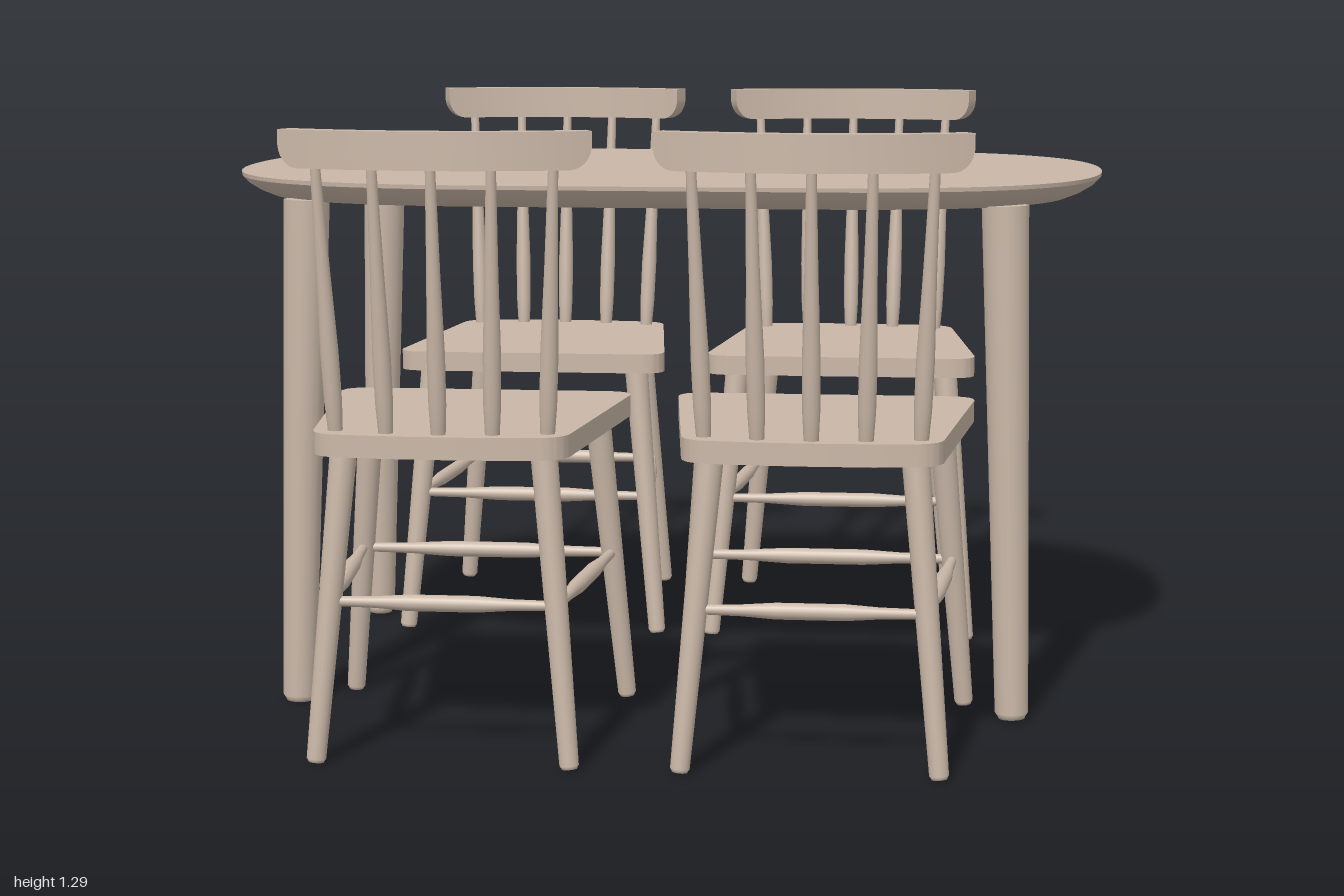
import * as THREE from 'three';
import { toCreasedNormals } from 'three/addons/utils/BufferGeometryUtils.js';

const wood = new THREE.MeshStandardMaterial({ color: 0xc9b7a7 });
wood.name = 'pale wood';

function add(parent, name, geometry) {
  const mesh = new THREE.Mesh(geometry, wood);
  mesh.name = name;
  parent.add(mesh);
  return mesh;
}

// Skin closed rings of [x, y, z] points and cap both ends
function loft(rings) {
  const n = rings[0].length, pos = [];
  const tri = (...pts) => pts.forEach((p) => pos.push(...p));
  const centre = (ring) => [0, 1, 2].map((k) => ring.reduce((s, p) => s + p[k], 0) / n);
  const first = rings[0], last = rings[rings.length - 1];
  const c0 = centre(first), c1 = centre(last);
  for (let j = 0; j < n; j++) {
    const k = (j + 1) % n;
    for (let i = 0; i < rings.length - 1; i++) {
      const a = rings[i], b = rings[i + 1];
      tri(a[j], a[k], b[k]);
      tri(a[j], b[k], b[j]);
    }
    tri(c0, first[k], first[j]);
    tri(c1, last[j], last[k]);
  }
  const g = new THREE.BufferGeometry();
  g.setAttribute('position', new THREE.Float32BufferAttribute(pos, 3));
  return toCreasedNormals(g, 0.5);
}

// Turned rod from a to b; profile is [fraction along, radius]
function turned(parent, name, a, b, profile) {
  const from = new THREE.Vector3(...a), dir = new THREE.Vector3(...b).sub(from);
  const len = dir.length();
  const r0 = profile[0][1], r1 = profile[profile.length - 1][1];
  const pts = [[0, 0], [0, r0 * 0.8], [0.003, r0 * 0.82], ...profile.map(([t, r]) => [t || 0.012, r]), [1, r1 * 0.98], [1, 0]]
    .map(([t, r]) => new THREE.Vector2(r, t * len));
  const mesh = add(parent, name, new THREE.LatheGeometry(pts, 20));
  mesh.position.copy(from);
  mesh.quaternion.setFromUnitVectors(new THREE.Vector3(0, 1, 0), dir.normalize());
}

// Soft rectangular table outline, inset by d
function outline(d, y) {
  const V = THREE.Vector2;
  const curve = new THREE.CubicBezierCurve(new V(0.97 - d, 0), new V(0.97 - d, 0.4), new V(0.78 - d, 0.606 - d), new V(0.33, 0.606 - d));
  const q = curve.getPoints(24);
  const half = [...q, ...q.slice().reverse().map((p) => new V(-p.x, p.y))].slice(0, -1);
  return [...half.map((p) => [p.x, y, -p.y]), ...half.map((p) => [-p.x, y, p.y])];
}

function makeTable() {
  const table = new THREE.Group();
  table.name = 'table';
  table.position.z = -0.023;
  // Top with a thin rim and undercut edge
  add(table, 'tableTop', loft([[0.068, 1.104], [0.04, 1.115], [0.015, 1.13], [0.001, 1.145], [0, 1.154]].map(([d, y]) => outline(d, y))));
  for (const sx of [-1, 1]) for (const sz of [-1, 1]) {
    turned(table, 'tableLeg', [sx * 0.783, 0, sz * 0.445], [sx * 0.752, 1.107, sz * 0.425], [[0, 0.036], [1, 0.05]]);
  }
  return table;
}

// Curved top rail with rounded lower corners
function crestGeometry() {
  const rings = [], end = 0.42, corner = 0.06, steps = 48;
  for (let i = 0; i <= steps; i++) {
    const t = -Math.cos((i / steps) * Math.PI) * end;
    const u = Math.max(0, 1 - (end - Math.abs(t)) / corner);
    const low = 1.214 + 0.05 * (1 - Math.sqrt(1 - u * u));
    const at = (r, y) => [r * Math.sin(t), y, 0.23 + r * Math.cos(t)];
    rings.push([at(0.77, 1.29), at(0.77, low), at(0.727, low), at(0.727, 1.29)]);
  }
  return loft(rings);
}

// Tapered seat with rounded corners
function seatGeometry() {
  const s = new THREE.Shape();
  s.moveTo(-0.26, 0.3);
  s.lineTo(0.26, 0.3);
  s.quadraticCurveTo(0.327, 0.3, 0.319, 0.365);
  s.lineTo(0.262, 0.885);
  s.quadraticCurveTo(0.255, 0.94, 0.2, 0.945);
  s.quadraticCurveTo(0, 0.97, -0.2, 0.945);
  s.quadraticCurveTo(-0.255, 0.94, -0.262, 0.885);
  s.lineTo(-0.319, 0.365);
  s.quadraticCurveTo(-0.327, 0.3, -0.26, 0.3);
  const g = new THREE.ExtrudeGeometry(s, { depth: 0.046, bevelEnabled: false, curveSegments: 12 });
  g.rotateX(Math.PI / 2).translate(0, 0.682, 0);
  return toCreasedNormals(g, 0.6);
}

function makeChair(seat, crest) {
  const chair = new THREE.Group();
  chair.name = 'chair';
  add(chair, 'seat', seat);
  add(chair, 'crestRail', crest);
  const legShape = [[0, 0.02], [1, 0.028]];
  const railShape = [[0, 0.01], [0.2, 0.012], [0.35, 0.017], [0.65, 0.017], [0.8, 0.012], [1, 0.01]];
  for (const s of [-1, 1]) {
    turned(chair, 'frontLeg', [s * 0.307, 0, 0.308], [s * 0.25, 0.64, 0.37], legShape);
    turned(chair, 'backLeg', [s * 0.261, 0, 0.92], [s * 0.205, 0.64, 0.865], legShape);
    turned(chair, 'sideStretcher', [s * 0.278, 0.33, 0.34], [s * 0.232, 0.33, 0.892], railShape);
  }
  turned(chair, 'frontStretcher', [-0.278, 0.33, 0.34], [0.278, 0.33, 0.34], railShape);
  turned(chair, 'backStretcher', [-0.232, 0.33, 0.892], [0.232, 0.33, 0.892], railShape);
  // Fanned back spindles
  for (let i = -2; i <= 2; i++) {
    const xt = i * 0.119, xb = i * 0.108;
    const arc = (x) => Math.sqrt(0.748 ** 2 - x * x) - 0.748;
    turned(chair, 'spindle', [xb, 0.675, 0.92 + arc(xb)], [xt, 1.23, 0.978 + arc(xt)],
      [[0, 0.015], [0.12, 0.018], [0.3, 0.0185], [0.6, 0.014], [1, 0.01]]);
  }
  return chair;
}

export function createModel() {
  const model = new THREE.Group();
  model.name = 'diningSet';
  model.add(makeTable());
  const seat = seatGeometry(), crest = crestGeometry();
  for (const x of [-0.373, 0.373]) for (const turn of [0, Math.PI]) {
    const chair = makeChair(seat, crest);
    chair.position.x = x;
    chair.rotation.y = turn;
    model.add(chair);
  }
  return model;
}
